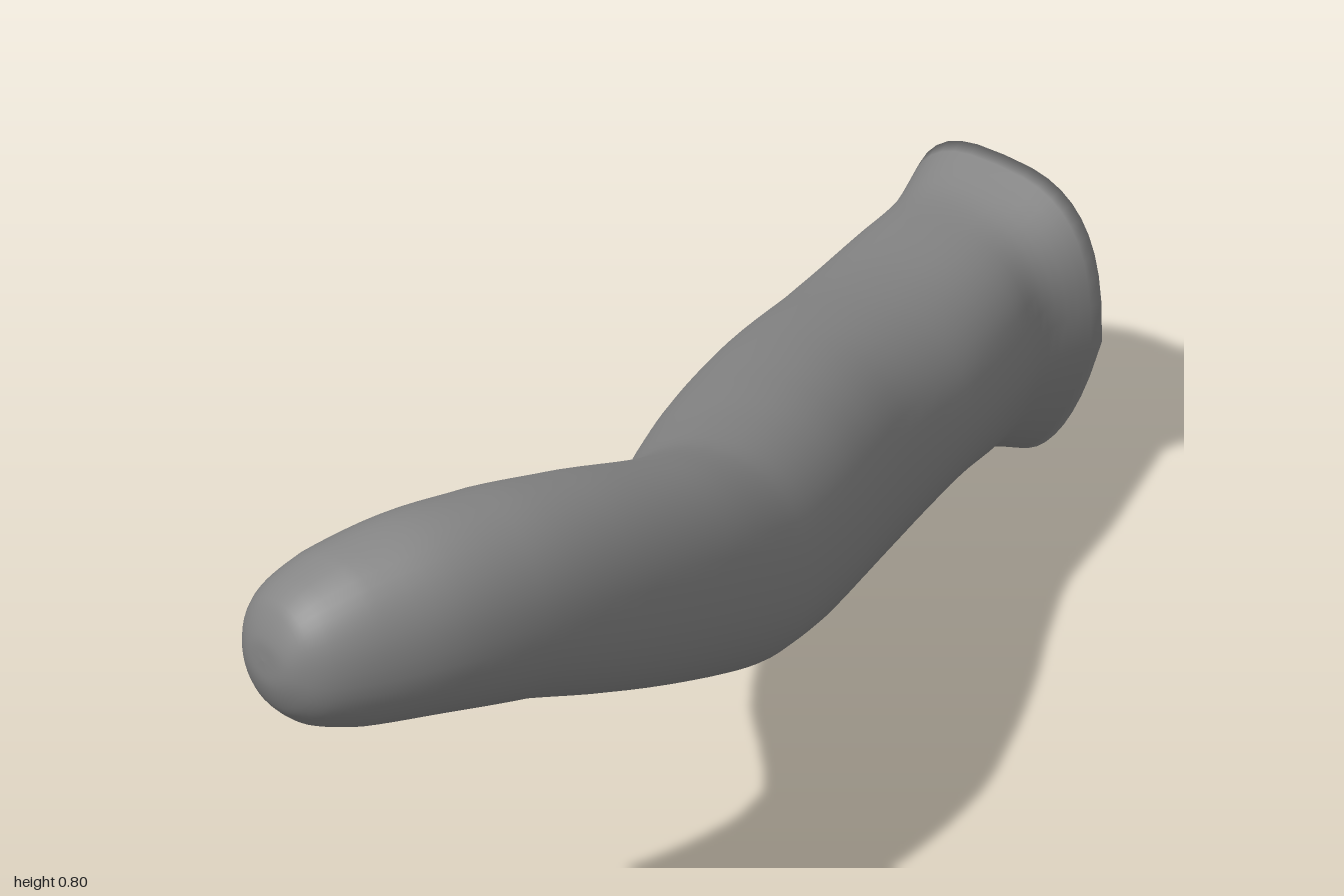
import * as THREE from 'three';

const SIDES = 40;
const STEPS = 80;

// Stations along the body: left edge x, z; right edge x, z; top y, bottom y; lean of the underside
const STATIONS = [
  [-0.60, -0.95, -0.24, -1.00, 0.44, 0.00, 0.06],
  [-0.55, -0.86, -0.23, -0.90, 0.41, 0.045, 0.05],
  [-0.50, -0.74, -0.18, -0.82, 0.415, 0.07, 0.035],
  [-0.41, -0.56, -0.085, -0.67, 0.435, 0.115, 0.01],
  [-0.28, -0.33, 0.02, -0.48, 0.48, 0.123, 0],
  [-0.14, -0.13, 0.13, -0.33, 0.52, 0.157, 0],
  [-0.01, 0.025, 0.24, -0.19, 0.555, 0.203, 0],
  [0.11, 0.14, 0.37, 0.00, 0.60, 0.265, 0],
  [0.215, 0.265, 0.46, 0.17, 0.665, 0.335, 0],
  [0.29, 0.45, 0.545, 0.41, 0.745, 0.42, 0],
  [0.325, 0.62, 0.585, 0.60, 0.79, 0.485, 0],
  [0.335, 0.77, 0.588, 0.76, 0.803, 0.515, 0],
  [0.33, 0.89, 0.56, 0.88, 0.78, 0.527, 0],
  [0.335, 0.945, 0.53, 0.95, 0.75, 0.545, 0],
  [0.355, 0.975, 0.505, 0.98, 0.725, 0.57, 0],
  [0.39, 0.995, 0.475, 0.998, 0.685, 0.61, 0],
  [0.43, 1.00, 0.43, 1.00, 0.65, 0.65, 0],
];

const curveOf = (pick) => new THREE.CatmullRomCurve3(STATIONS.map((s) => new THREE.Vector3(...pick(s))));
const leftEdge = curveOf((s) => [s[0], 0, s[1]]);
const rightEdge = curveOf((s) => [s[2], 0, s[3]]);
const heights = curveOf((s) => [s[4], s[5], s[6]]);

const softPower = (v, n) => Math.sign(v) * Math.pow(Math.abs(v), 2 / n);

// One closed cross-section at t along the body, shrunk by scale
function addRing(positions, t, scale) {
  const l = leftEdge.getPoint(t);
  const r = rightEdge.getPoint(t);
  const h = heights.getPoint(t);
  const squareness = 2.15 + 0.75 * Math.max(0, 1 - t * 5);
  for (let j = 0; j < SIDES; j++) {
    const a = (j / SIDES) * Math.PI * 2;
    const c = softPower(Math.cos(a), squareness);
    const v = softPower(Math.sin(a), squareness);
    // the underside of the flared end narrows, more on the model's left
    const low = Math.min(v, 0) * h.z;
    const u = c * (1 + low * (c > 0 ? 6 : 4)) + low;
    const k = 0.5 + (u * scale) / 2;
    positions.push(
      l.x + (r.x - l.x) * k,
      (h.x + h.y) / 2 + (v * scale * (h.x - h.y)) / 2,
      l.z + (r.z - l.z) * k,
    );
  }
}

function bodyGeometry() {
  const positions = [];
  const indices = [];
  // flat end face with a softly shaded rim
  for (const scale of [0, 0.82]) addRing(positions, 0, scale);
  // swept body, closing in a blunt tip
  for (let i = 0; i <= STEPS; i++) addRing(positions, i / STEPS, 1);

  const rings = positions.length / 3 / SIDES;
  for (let i = 0; i < rings - 1; i++) {
    for (let j = 0; j < SIDES; j++) {
      const a = i * SIDES + j;
      const b = i * SIDES + ((j + 1) % SIDES);
      indices.push(a, b, a + SIDES, b, b + SIDES, a + SIDES);
    }
  }
  const geometry = new THREE.BufferGeometry();
  geometry.setAttribute('position', new THREE.Float32BufferAttribute(positions, 3));
  geometry.setIndex(indices);
  geometry.computeVertexNormals();
  return geometry;
}

export function createModel() {
  const group = new THREE.Group();
  group.name = 'curvedTube';
  const body = new THREE.Mesh(
    bodyGeometry(),
    new THREE.MeshStandardMaterial({ color: 0x858585 }),
  );
  body.name = 'body';
  group.add(body);
  return group;
}
